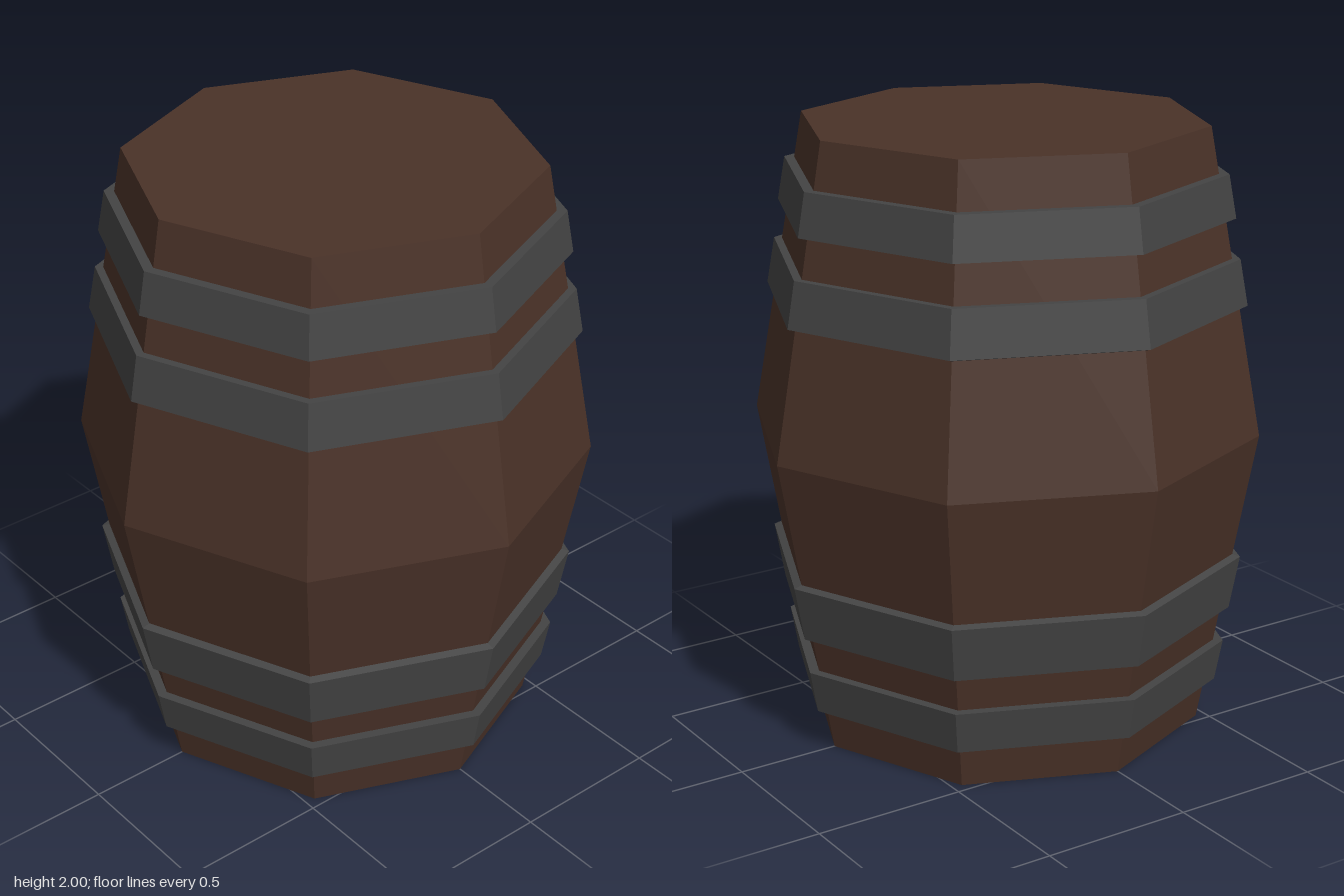
import * as THREE from 'three';

const SIDES = 8;
const END_RADIUS = 0.66;
const BELLY_RADIUS = 0.84;

// Radius of the staves at height y
const staveRadius = (y) => BELLY_RADIUS - (BELLY_RADIUS - END_RADIUS) * Math.abs(y - 1);

// Faceted solid of revolution; the profile runs upward on its outside
function turned(name, profile, material) {
  const points = profile.map(([r, y]) => new THREE.Vector2(r, y));
  const mesh = new THREE.Mesh(new THREE.LatheGeometry(points, SIDES), material);
  mesh.name = name;
  return mesh;
}

export function createModel() {
  const barrel = new THREE.Group();
  barrel.name = 'barrel';
  const wood = new THREE.MeshStandardMaterial({ color: 0x4a3228, flatShading: true });
  const iron = new THREE.MeshStandardMaterial({ color: 0x444444, flatShading: true });

  // Wooden body with closed ends
  barrel.add(turned('body', [
    [0, 0], [END_RADIUS, 0], [BELLY_RADIUS, 1], [END_RADIUS, 2], [0, 2],
  ], wood));

  // Iron hoops: bottom, top, thickness, slope of the edge nearest the belly
  const hoops = [
    ['bottomHoop', 0.14, 0.28, 0.033, 0],
    ['lowerHoop', 0.4, 0.58, 0.027, 0.01],
    ['upperHoop', 1.43, 1.58, 0.027, 0.01],
    ['topHoop', 1.71, 1.85, 0.033, 0],
  ];
  for (const [name, y0, y1, thickness, slope] of hoops) {
    const r0 = staveRadius(y0);
    const r1 = staveRadius(y1);
    const innerY0 = y0 > 1 ? y0 - slope : y0;
    const innerY1 = y0 > 1 ? y1 : y1 + slope;
    barrel.add(turned(name, [
      [r0 - 0.005, innerY0], [r0 + thickness, y0],
      [r1 + thickness, y1], [r1 - 0.005, innerY1],
    ], iron));
  }
  return barrel;
}
